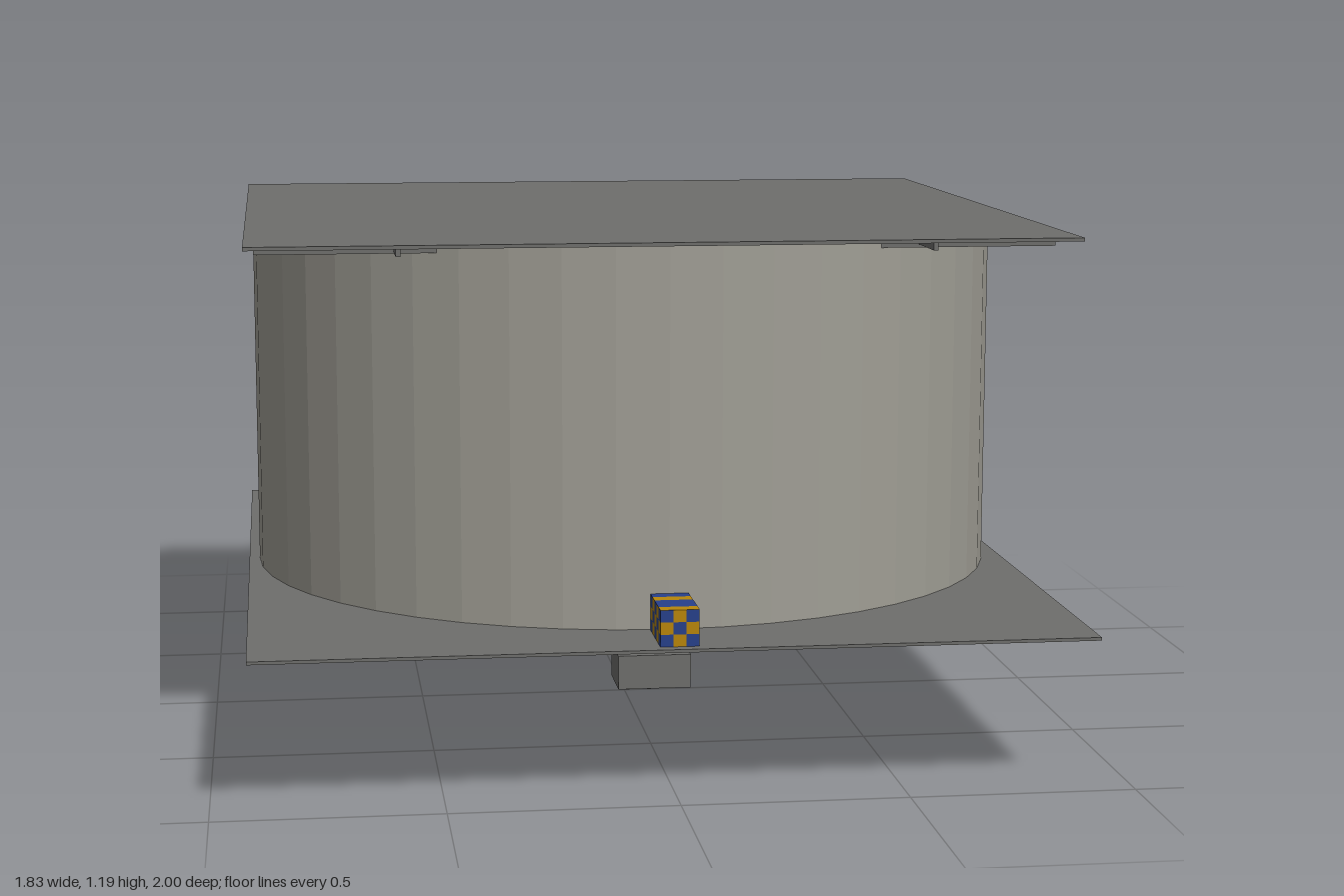
import * as THREE from 'three';

const mat = (name, color, extra = {}) => {
  const m = new THREE.MeshStandardMaterial({ color, ...extra });
  m.name = name;
  return m;
};

export function createModel() {
  const group = new THREE.Group();
  const grey = mat('plate grey', 0x6e6e6c);
  const stone = mat('drum grey', 0xa09e95, { flatShading: true });
  const gold = mat('gold', 0xb8860b);
  const blue = mat('blue', 0x27408b);

  const add = (name, geometry, material) => {
    const mesh = new THREE.Mesh(geometry, material);
    mesh.name = name;
    group.add(mesh);
    return mesh;
  };
  // Box given by its minimum and maximum on each axis
  const box = (name, material, [x0, x1], [y0, y1], [z0, z1]) => {
    const g = new THREE.BoxGeometry(x1 - x0, y1 - y0, z1 - z0);
    g.translate((x0 + x1) / 2, (y0 + y1) / 2, (z0 + z1) / 2);
    return add(name, g, material);
  };

  // Base, drum and cover
  const zc = -0.08;
  box('basePlate', grey, [-0.915, 0.915], [0.335, 0.342], [-1, 1]);
  add('drum', new THREE.CylinderGeometry(0.89, 0.89, 0.84, 48), stone).position.set(0, 0.761, zc);
  box('coverPlate', grey, [-0.906, 0.906], [1.18, 1.188], [-0.986, 0.818]);

  // Ribs under the cover
  for (let i = -3; i <= 3; i++) {
    const z = zc + i * 0.245;
    box('crossRib', grey, [-0.885, 0.885], [1.156, 1.18], [z - 0.005, z + 0.005]);
  }
  for (const x of [-0.58, 0.58]) {
    box('longRib', grey, [x - 0.005, x + 0.005], [1.163, 1.18], [-0.97, 0.805]);
  }

  // Chequered block: each cell of a segmented box gets its own colour group
  const chequered = (name, size, seg, centre, capStripes) => {
    const g = new THREE.BoxGeometry(...size, ...seg);
    const [sx, sy, sz] = seg;
    const sides = [[sz, sy], [sz, sy], [sx, sz], [sx, sz], [sx, sy], [sx, sy]];
    g.clearGroups();
    let start = 0;
    sides.forEach(([cols, rows], side) => {
      const cap = side === 2 || side === 3;
      for (let r = 0; r < rows; r++) {
        for (let c = 0; c < cols; c++, start += 6) {
          const isGold = cap && capStripes ? capStripes[side === 2 ? r : rows - 1 - r] : (r + c) % 2;
          g.addGroup(start, 6, isGold);
        }
      }
    });
    add(name, g, [blue, gold]).position.set(...centre);
  };
  chequered('frontBlock', [0.084, 0.08, 0.164], [3, 3, 5], [0, 0.382, 0.892], [0, 1, 0, 0, 1]);
  chequered('hangerBlock', [0.07, 0.075, 0.07], [3, 3, 3], [0, 0.2985, -0.083]);

  // Coil spring with leads into the hanger and the weight
  const points = [new THREE.Vector3(0, 0.305, -0.085)];
  const steps = 72;
  for (let i = 0; i <= steps; i++) {
    const deg = 115 - (i / steps) * 1050;
    const a = THREE.MathUtils.degToRad(deg);
    points.push(new THREE.Vector3(0.055 + 0.075 * Math.cos(a), 0.27 + 0.056 * deg / 360, -0.16 + 0.075 * Math.sin(a)));
  }
  points.push(new THREE.Vector3(0.02, 0.08, -0.07));
  add('coilSpring', new THREE.TubeGeometry(new THREE.CatmullRomCurve3(points), 200, 0.02, 12), gold);

  // Weight below the spring, with a rear lug and small feet
  box('weight', grey, [-0.02, 0.16], [0.012, 0.096], [-0.108, 0.042]);
  box('rearLug', stone, [0.05, 0.12], [0.012, 0.076], [-0.178, -0.108]);
  for (const x of [0.008, 0.062]) {
    box('foot', grey, [x - 0.005, x + 0.005], [0, 0.012], [-0.025, 0]);
  }
  return group;
}
